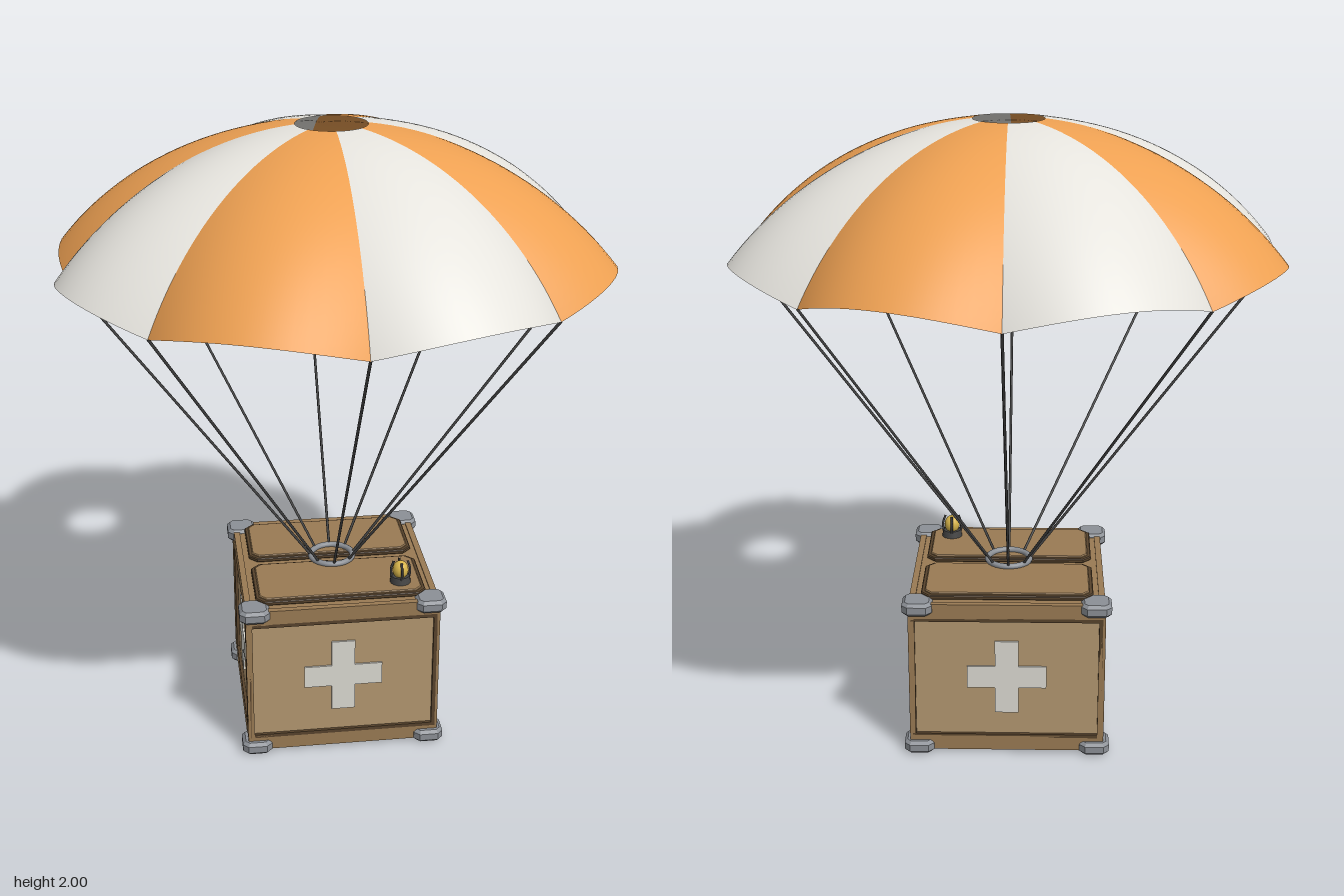
import * as THREE from 'three';
import { ParametricGeometry } from 'three/addons/geometries/ParametricGeometry.js';

const mat = (color, side = THREE.FrontSide) => new THREE.MeshStandardMaterial({ color, side });

export function createModel() {
  const model = new THREE.Group();
  const orange = mat(0xeda052, THREE.DoubleSide), white = mat(0xe6e4de, THREE.DoubleSide);
  const wood = mat(0x9a7b54), panelWood = mat(0xb39770), darkWood = mat(0x57432c);
  const steel = mat(0x8c9096), cord = mat(0x444444), pale = mat(0xdcdad2), gold = mat(0xd8b54a);

  const add = (parent, name, geometry, material, x = 0, y = 0, z = 0) => {
    const mesh = new THREE.Mesh(geometry, material);
    mesh.name = name;
    mesh.position.set(x, y, z);
    parent.add(mesh);
    return mesh;
  };
  const box = (parent, name, w, h, d, material, x, y, z) =>
    add(parent, name, new THREE.BoxGeometry(w, h, d), material, x, y, z);

  // Slab lying flat with chamfered corners and edges, centred on its own origin
  const slab = (w, h, d, corner, bevel) => {
    const a = w / 2 - bevel, b = d / 2 - bevel, c = corner;
    const pts = [[a - c, -b], [a, -b + c], [a, b - c], [a - c, b], [-a + c, b], [-a, b - c], [-a, -b + c], [-a + c, -b]];
    const shape = new THREE.Shape(pts.map(p => new THREE.Vector2(...p)));
    return new THREE.ExtrudeGeometry(shape, {
      depth: h - 2 * bevel, bevelEnabled: true, bevelThickness: bevel, bevelSize: bevel, bevelSegments: 1,
    }).rotateX(-Math.PI / 2).translate(0, -h / 2 + bevel, 0);
  };

  // Canopy: eight billowing gores around a vent hole, scalloped at the rim
  const canopy = new THREE.Group();
  canopy.name = 'canopy';
  model.add(canopy);
  const R = 0.948, centreY = 1.059;
  const tMin = Math.asin(0.11 / R), tMax = Math.asin(0.81 / R);
  for (let i = 0; i < 8; i++) {
    const gore = new ParametricGeometry((u, v, target) => {
      const angle = (i + u) * Math.PI / 4;
      const theta = tMin + (tMax - tMin) * v;
      const billow = 0.06 * Math.sin(Math.PI * u) * Math.pow(v, 1.6);
      const r = R * Math.sin(theta) + billow;
      target.set(r * Math.cos(angle), centreY + R * Math.cos(theta) + billow * 0.95, r * Math.sin(angle));
    }, 16, 24);
    add(canopy, 'gore', gore, i % 2 ? white : orange);
  }

  // Suspension cords from the rim seams to the ring
  const cords = new THREE.Group();
  cords.name = 'cords';
  model.add(cords);
  for (let i = 0; i < 8; i++) {
    const c = Math.cos(i * Math.PI / 4), s = Math.sin(i * Math.PI / 4);
    const line = new THREE.LineCurve3(
      new THREE.Vector3(0.07 * c, 0.555, 0.07 * s), new THREE.Vector3(0.81 * c, 1.555, 0.81 * s));
    add(cords, 'cord', new THREE.TubeGeometry(line, 1, 0.0045, 6), cord);
  }
  add(model, 'cordRing', new THREE.TorusGeometry(0.07, 0.01, 10, 32).rotateX(Math.PI / 2), steel, 0, 0.552, 0);

  // Crate core, rails and corner posts
  const crate = new THREE.Group();
  crate.name = 'crate';
  model.add(crate);
  box(crate, 'core', 0.596, 0.51, 0.596, wood, 0, 0.27, 0);
  for (const s of [-1, 1]) {
    for (const [y, h] of [[0.035, 0.05], [0.504, 0.05]]) {
      box(crate, 'frontRail', 0.62, h, 0.02, wood, 0, y, s * 0.302);
      box(crate, 'sideRail', 0.02, h, 0.62, wood, s * 0.302, y, 0);
    }
    for (const t of [-1, 1]) {
      box(crate, 'post', 0.02, 0.51, 0.052, wood, s * 0.303, 0.27, t * 0.286);
      box(crate, 'postGroove', 0.006, 0.42, 0.008, darkWood, s * 0.311, 0.27, t * 0.304);
    }
  }

  // Framed wall panel with a raised cross, facing +z before its turn
  const wall = (name, width, angle) => {
    const g = new THREE.Group();
    g.name = name;
    g.rotation.y = angle;
    crate.add(g);
    box(g, 'panel', width, 0.42, 0.01, panelWood, 0, 0.27, 0.297);
    for (const s of [-1, 1]) {
      box(g, 'panelTrim', width, 0.012, 0.016, darkWood, 0, 0.268 + s * 0.207, 0.304);
      box(g, 'panelTrim', 0.012, 0.426, 0.016, darkWood, s * (width / 2 - 0.006), 0.268, 0.304);
    }
    const a = 0.127, b = 0.038;
    const cross = new THREE.Shape([[b, a], [-b, a], [-b, b], [-a, b], [-a, -b], [-b, -b], [-b, -a], [b, -a],
      [b, -b], [a, -b], [a, b], [b, b]].map(p => new THREE.Vector2(...p)));
    add(g, 'cross', new THREE.ExtrudeGeometry(cross, { depth: 0.008, bevelEnabled: false }), pale, 0, 0.272, 0.3);
  };
  wall('frontWall', 0.61, 0);
  wall('backWall', 0.61, Math.PI);
  wall('leftWall', 0.515, Math.PI / 2);
  wall('rightWall', 0.515, -Math.PI / 2);

  // Two lid boards on dark edging, with a gap between them
  for (const s of [-1, 1]) {
    add(crate, 'lidEdging', slab(0.55, 0.014, 0.255, 0.025, 0.003), darkWood, 0, 0.534, s * 0.145);
    add(crate, 'lidBoard', slab(0.526, 0.012, 0.231, 0.02, 0.003), wood, 0, 0.541, s * 0.145);
  }

  // Metal corner guards
  for (const x of [-1, 1]) for (const z of [-1, 1]) for (const y of [0.022, 0.514])
    add(crate, 'cornerGuard', slab(0.096, 0.043, 0.096, 0.012, 0.01), steel, x * 0.284, y, z * 0.284);

  // Beacon lamp in a small cage
  const beacon = new THREE.Group();
  beacon.name = 'beacon';
  beacon.position.set(0.2, 0.545, 0.2);
  model.add(beacon);
  add(beacon, 'beaconBase', new THREE.CylinderGeometry(0.03, 0.035, 0.026, 16), cord, 0, 0.012, 0);
  add(beacon, 'beaconLamp', new THREE.SphereGeometry(0.026, 16, 12).scale(1, 1.2, 1), gold, 0, 0.044, 0);
  for (let i = 0; i < 4; i++) {
    const a = i * Math.PI / 2;
    const path = new THREE.CatmullRomCurve3([[0.03, 0.02], [0.031, 0.05], [0.022, 0.078]].map(
      ([r, y]) => new THREE.Vector3(r * Math.cos(a), y, r * Math.sin(a))));
    add(beacon, 'beaconProng', new THREE.TubeGeometry(path, 6, 0.004, 6), cord);
  }
  return model;
}
